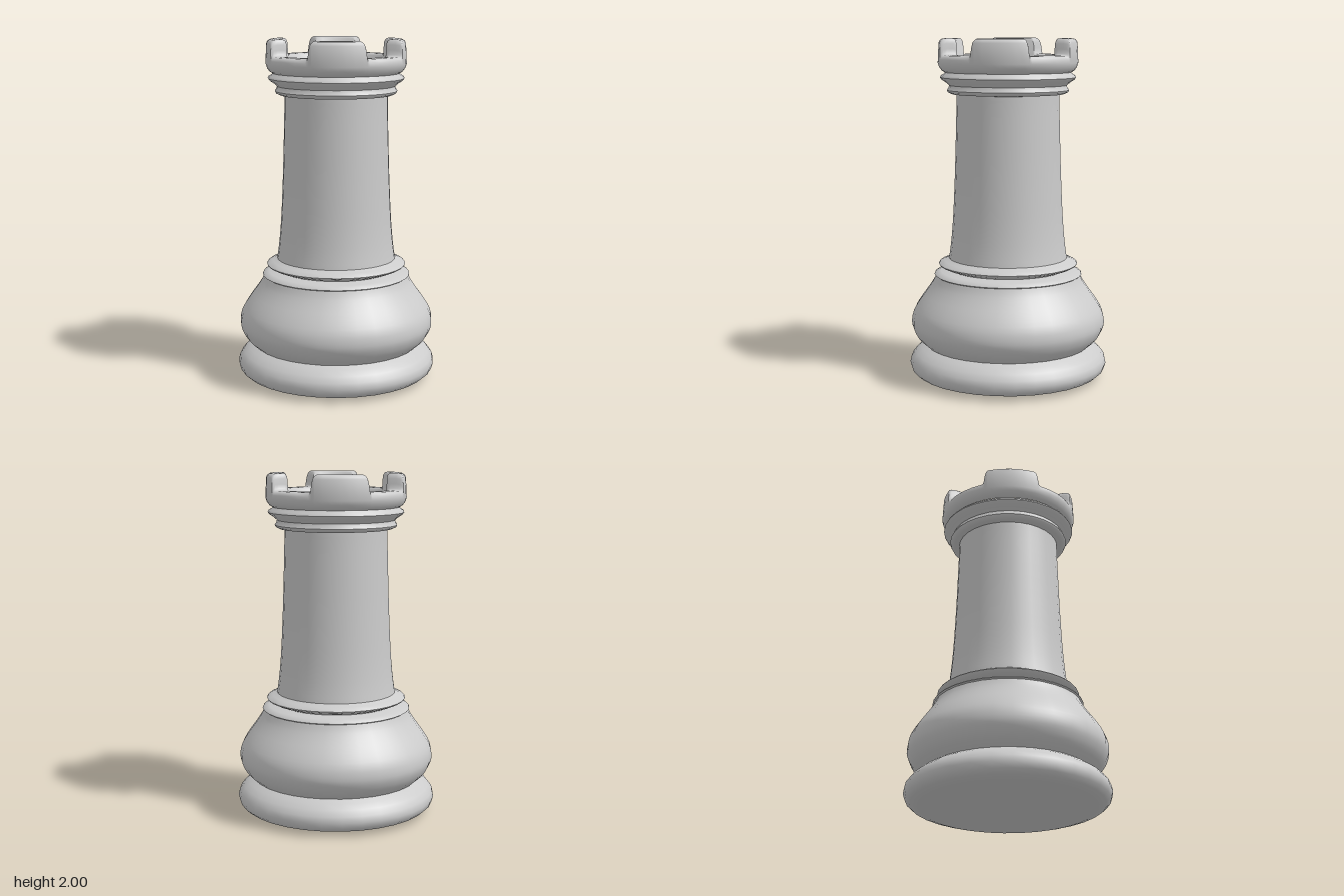
import * as THREE from 'three';
import { mergeVertices, toCreasedNormals } from 'three/addons/utils/BufferGeometryUtils.js';

const material = new THREE.MeshStandardMaterial({ color: 0xcccccc });
const toVectors = (points) => points.map(([r, y]) => new THREE.Vector2(r, y));

function addMesh(group, name, geometry) {
  const mesh = new THREE.Mesh(geometry, material);
  mesh.name = name;
  group.add(mesh);
}

// Turned part: profile of [radius, height] from bottom to top, optionally smoothed
function addTurned(group, name, points, smoothSteps = 0) {
  let profile = toVectors(points);
  if (smoothSteps) profile = new THREE.SplineCurve(profile).getPoints(smoothSteps);
  const geometry = new THREE.LatheGeometry(profile, 32);
  geometry.deleteAttribute('uv');
  geometry.deleteAttribute('normal');
  addMesh(group, name, toCreasedNormals(mergeVertices(geometry, 1e-5), 1));
}

// One eighth of the battlement: [degrees from gap centre, lift of the rim]
const EIGHTH = [
  [0, 0], [10, 0], [19.3, 0], [20.6, 0.01], [21.3, 0.035], [21.8, 0.065],
  [22.7, 0.086], [24.4, 0.095], [31, 0.095], [38, 0.095], [45, 0.095],
];

// Crown with a hollow cup; the rim is raised into four rounded merlons
function crownGeometry() {
  const steps = EIGHTH.length - 1;
  const quarter = 2 * steps;
  const profile = toVectors([
    [0.368, 1.805], [0.385, 1.815], [0.4, 1.835], [0.408, 1.86], [0.407, 1.88],
    [0.401, 1.893], [0.388, 1.902], [0.365, 1.905], [0.33, 1.905], [0.316, 1.902],
    [0.307, 1.892], [0.302, 1.875], [0.265, 1.82], [0.23, 1.765], [0.222, 1.76], [0, 1.76],
  ]);
  const geometry = new THREE.LatheGeometry(profile, 4 * quarter);
  const position = geometry.attributes.position;
  for (let i = 0; i < position.count; i++) {
    const segment = Math.floor(i / profile.length) % (4 * quarter);
    const { x: r, y } = profile[i % profile.length];
    const k = segment % quarter;
    const mirrored = k > steps;
    const [degrees, lift] = EIGHTH[mirrored ? quarter - k : k];
    const angle = THREE.MathUtils.degToRad(
      Math.floor(segment / quarter) * 90 + (mirrored ? 90 - degrees : degrees));
    // merlons lean in slightly above the gap floor
    const raised = y > 1.878 ? lift : 0;
    const radius = r > 0.36 ? r - raised * 0.05 : r;
    position.setXYZ(i, radius * Math.sin(angle), y + raised, radius * Math.cos(angle));
  }
  geometry.deleteAttribute('uv');
  geometry.deleteAttribute('normal');
  return toCreasedNormals(mergeVertices(geometry, 1e-5), 1);
}

export function createModel() {
  const group = new THREE.Group();
  group.name = 'rook';

  // Foot with a closed underside
  addTurned(group, 'foot', [
    [0, 0], [0.42, 0.004], [0.5, 0.012], [0.55, 0.028], [0.575, 0.05], [0.586, 0.085],
    [0.578, 0.12], [0.553, 0.152], [0.52, 0.178], [0.488, 0.197],
  ]);

  // Rounded lower body
  addTurned(group, 'bulge', [
    [0.488, 0.197], [0.535, 0.24], [0.564, 0.29], [0.573, 0.335], [0.562, 0.395],
    [0.525, 0.46], [0.478, 0.525], [0.445, 0.575], [0.428, 0.612],
  ], 20);

  // Ledge and sharp ring above the body
  addTurned(group, 'ledge', [
    [0.428, 0.612], [0.437, 0.618], [0.434, 0.624], [0.4, 0.637], [0.345, 0.648],
  ]);
  addTurned(group, 'lowerRing', [
    [0.345, 0.648], [0.385, 0.663], [0.407, 0.674], [0.411, 0.681], [0.405, 0.688],
    [0.375, 0.7], [0.35, 0.714],
  ]);

  // Tapered column
  addTurned(group, 'column', [
    [0.35, 0.714], [0.338, 0.8], [0.327, 0.92], [0.319, 1.06], [0.311, 1.25],
    [0.305, 1.45], [0.301, 1.6], [0.3, 1.678],
  ], 16);

  // Two collar rings under the crown
  addTurned(group, 'collar', [
    [0.3, 1.678], [0.33, 1.68], [0.35, 1.69], [0.356, 1.702], [0.346, 1.717],
    [0.343, 1.73], [0.362, 1.747], [0.387, 1.763], [0.396, 1.775], [0.39, 1.787],
    [0.372, 1.798], [0.368, 1.805],
  ]);

  addMesh(group, 'crown', crownGeometry());
  return group;
}
